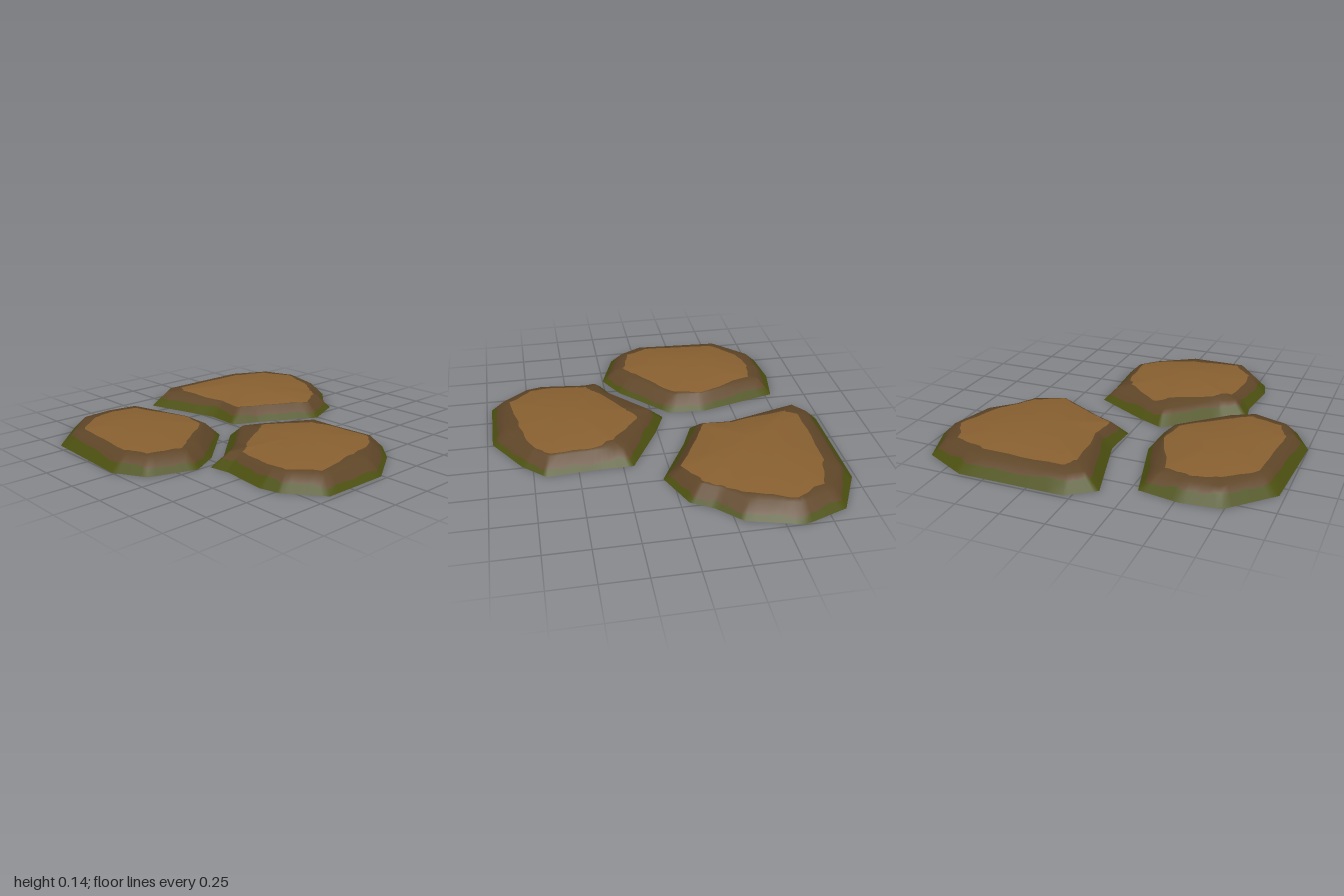
import * as THREE from 'three';

const flat = (name, color) => {
  const m = new THREE.MeshStandardMaterial({ color, side: THREE.DoubleSide });
  m.name = name;
  return m;
};

// Each outline corner is [x, z, share of the crown left as the darker rim]
const STONES = [
  {
    name: 'leftStone', apex: [-0.6, 0.13, -0.33],
    outline: [
      [-0.74, -0.81, 0.18], [-0.52, -0.83, 0.13], [-0.29, -0.79, 0.15], [-0.17, -0.34, 0.03],
      [-0.18, -0.11, 0.08], [-0.47, 0.16, 0.14], [-0.64, 0.25, 0.1], [-0.9, 0.16, 0.1],
      [-1, -0.02, 0.12], [-0.97, -0.58, 0.14],
    ],
  },
  {
    name: 'rightStone', apex: [0.38, 0.145, -0.49],
    outline: [
      [0.04, -0.98, 0.15], [0.65, -0.98, 0.17], [0.91, -0.85, 0.12], [1, -0.6, 0.07],
      [0.92, -0.3, 0.1], [0.79, -0.17, 0.03], [0.72, -0.05, 0.05], [0.49, 0.05, 0.02],
      [0.17, -0.13, 0.02], [0.01, -0.2, 0.02], [0.02, -0.41, 0.04], [-0.11, -0.87, 0.2],
    ],
  },
  {
    name: 'frontStone', apex: [-0.1, 0.137, 0.5],
    outline: [
      [-0.14, -0.06, 0.28], [0.02, 0.01, 0.08], [0.34, 0.19, 0.2], [0.34, 0.39, 0.06],
      [0.36, 0.68, 0.05], [0.24, 0.81, 0.04], [-0.01, 0.97, 0.2], [-0.4, 0.97, 0.1],
      [-0.55, 0.78, 0.08], [-0.58, 0.66, 0.08], [-0.55, 0.39, 0.06], [-0.57, 0.27, 0.22],
      [-0.42, 0.2, 0.15],
    ],
  },
];

const STEPS = 6;        // samples along each outline edge
const BEVEL = 0.08;     // width and height of the sloping side

// Inward unit normal of the edge from a to b
const inward = (a, b) => new THREE.Vector2(a[1] - b[1], b[0] - a[0]).normalize();

function stoneGeometry({ outline, apex }) {
  const n = outline.length;
  const peak = new THREE.Vector3(...apex);

  // Mitred inset of every corner gives the shoulder of the stone
  const corners = outline.map((p, i) => {
    const n1 = inward(outline[(i + n - 1) % n], p);
    const n2 = inward(p, outline[(i + 1) % n]);
    const miter = n1.clone().add(n2).multiplyScalar(BEVEL / (1 + n1.dot(n2)));
    return {
      foot: new THREE.Vector3(p[0], 0, p[1]),
      shoulder: new THREE.Vector3(p[0] + miter.x, BEVEL, p[1] + miter.y),
      rim: p[2],
      moss: 0.48 + 0.13 * (n1.x + n2.x + n1.y + n2.y) / 2,
    };
  });

  // Rings from the ground up: foot, moss line, shoulder, crown edge
  const rings = [[], [], [], []];
  corners.forEach((a, i) => {
    const b = corners[(i + 1) % n];
    for (let k = 0; k < STEPS; k++) {
      const t = k / STEPS;
      const ease = t * t * (3 - 2 * t);
      const s = i * STEPS + k;
      const wobble = Math.sin(s * 1.9) + Math.sin(s * 0.83 + 2);
      const foot = a.foot.clone().lerp(b.foot, t);
      const shoulder = a.shoulder.clone().lerp(b.shoulder, t);
      const moss = THREE.MathUtils.lerp(a.moss, b.moss, ease) + 0.05 * wobble;
      const rim = Math.max(0.012, THREE.MathUtils.lerp(a.rim, b.rim, ease) + 0.008 * wobble);
      rings[0].push(foot);
      rings[1].push(foot.clone().lerp(shoulder, moss));
      rings[2].push(shoulder);
      rings[3].push(shoulder.clone().lerp(peak, rim));
    }
  });

  const count = n * STEPS;
  const geometry = new THREE.BufferGeometry().setFromPoints([...rings.flat(), peak]);
  const index = [];
  for (let r = 0; r < 3; r++) {
    for (let i = 0; i < count; i++) {
      const j = (i + 1) % count;
      const a = r * count + i, b = r * count + j;
      index.push(a, a + count, b, b, a + count, b + count);
    }
  }
  for (let i = 0; i < count; i++) {
    index.push(3 * count + i, 4 * count, 3 * count + (i + 1) % count);
  }
  geometry.setIndex(index);
  geometry.addGroup(0, count * 6, 0);           // mossy foot
  geometry.addGroup(count * 6, count * 12, 1);  // darker side and rim
  geometry.addGroup(count * 18, count * 3, 2);  // worn crown
  geometry.computeVertexNormals();
  return geometry;
}

export function createModel() {
  const group = new THREE.Group();
  group.name = 'steppingStones';
  const materials = [
    flat('moss green', 0x4c5010),
    flat('dark earth brown', 0x5f4628),
    flat('light earth brown', 0x886030),
  ];
  for (const stone of STONES) {
    const mesh = new THREE.Mesh(stoneGeometry(stone), materials);
    mesh.name = stone.name;
    group.add(mesh);
  }
  return group;
}
